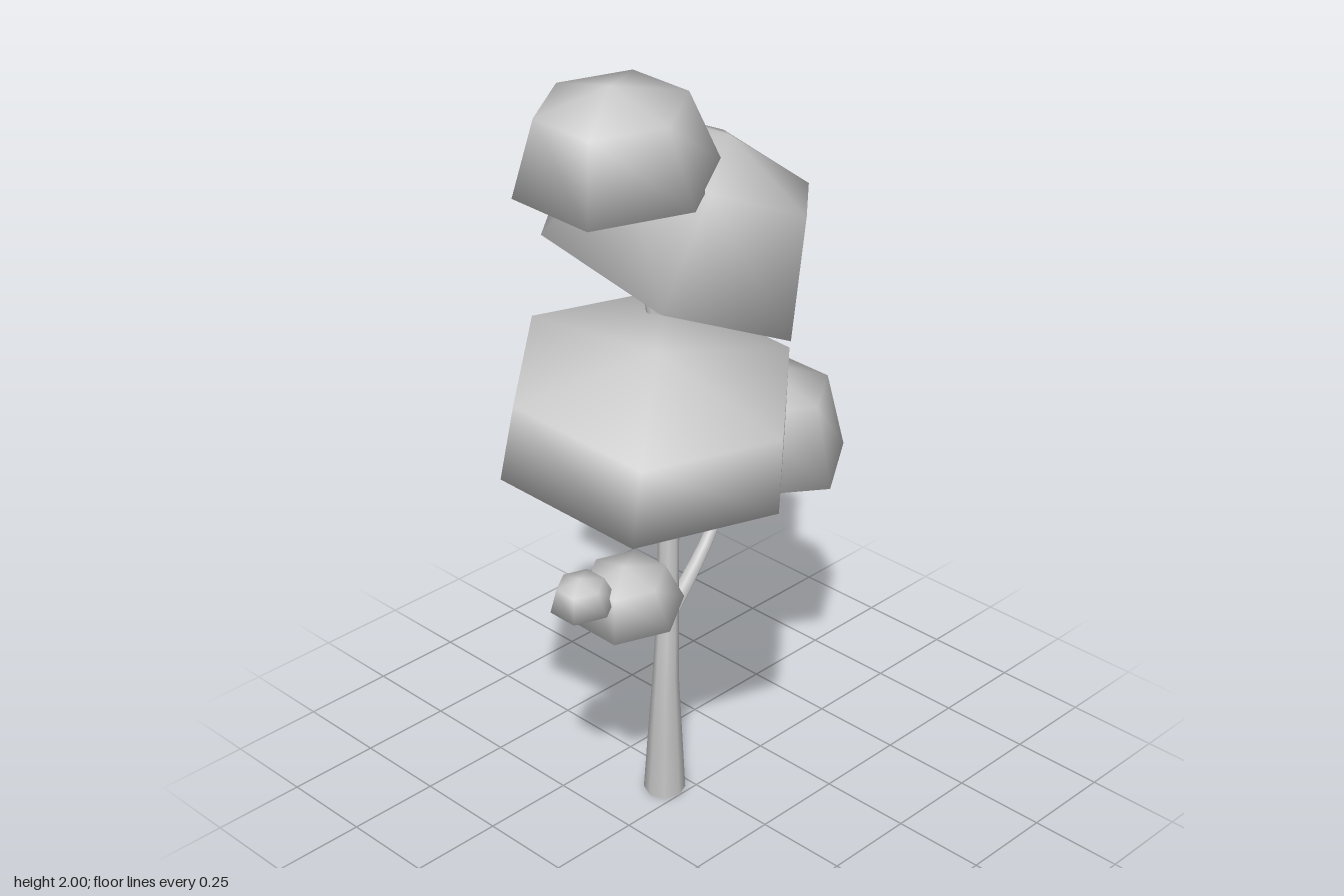
import * as THREE from 'three';
import { mergeVertices } from 'three/addons/utils/BufferGeometryUtils.js';

const material = new THREE.MeshStandardMaterial({ color: 0xcccccc });
const vec = (p) => new THREE.Vector3(...p);

// Six-sided leaf clump: centre of its widest ring, radius, up direction,
// direction of one corner, then size of the upper ring and its height (in radii)
function leafClump(name, centre, radius, up, corner, upper = 0.73, height = 0.76) {
  const profile = [[0, -0.2], [1, 0], [upper, height], [0, height + 0.19]]
    .map(([r, y]) => new THREE.Vector2(r * radius, y * radius));
  let geometry = new THREE.LatheGeometry(profile, 6);
  geometry.deleteAttribute('normal');
  geometry.deleteAttribute('uv');
  geometry = mergeVertices(geometry, 1e-4);
  geometry.computeVertexNormals();

  const y = vec(up).normalize();
  const x = y.clone().cross(vec(corner)).normalize();
  const z = x.clone().cross(y);
  const mesh = new THREE.Mesh(geometry, material);
  mesh.name = name;
  mesh.quaternion.setFromRotationMatrix(new THREE.Matrix4().makeBasis(x, y, z));
  mesh.position.set(...centre);
  return mesh;
}

// Tapered limb through [x, y, z, radius] points
function limb(name, points, sides = 8) {
  const curve = new THREE.CatmullRomCurve3(points.map((p) => vec(p.slice(0, 3))));
  const steps = (points.length - 1) * 3;
  const geometry = new THREE.TubeGeometry(curve, steps, 1, sides);
  const pos = geometry.attributes.position;
  const v = new THREE.Vector3();
  for (let i = 0; i <= steps; i++) {
    const t = i / steps;
    const centre = curve.getPointAt(t);
    const k = curve.getUtoTmapping(t) * (points.length - 1);
    const a = Math.min(Math.floor(k), points.length - 2);
    const radius = THREE.MathUtils.lerp(points[a][3], points[a + 1][3], k - a);
    for (let j = 0; j <= sides; j++) {
      const n = i * (sides + 1) + j;
      v.fromBufferAttribute(pos, n).sub(centre).multiplyScalar(radius).add(centre);
      pos.setXYZ(n, v.x, v.y, v.z);
    }
  }
  const mesh = new THREE.Mesh(geometry, material);
  mesh.name = name;
  return mesh;
}

export function createModel() {
  const tree = new THREE.Group();
  tree.name = 'tree';

  // Trunk, running up through the clumps
  tree.add(limb('trunk', [
    [-0.064, 0, -0.055, 0.055], [-0.07, 0.36, -0.042, 0.034], [-0.06, 0.58, -0.043, 0.028],
    [-0.058, 1.1, -0.046, 0.026], [-0.1, 1.44, -0.055, 0.015], [-0.18, 1.78, -0.065, 0.012],
  ]));
  const base = new THREE.Mesh(new THREE.CircleGeometry(0.055, 8), material);
  base.name = 'trunkBase';
  base.rotation.x = Math.PI / 2;
  base.position.set(-0.064, 0.001, -0.055);
  tree.add(base);

  // Branches
  tree.add(
    limb('leftBranch', [
      [-0.06, 0.53, -0.045, 0.024], [0.105, 0.635, -0.085, 0.018],
      [0.235, 0.775, -0.105, 0.014], [0.32, 0.84, -0.115, 0.01],
    ], 6),
    limb('rightBranch', [
      [-0.06, 0.53, -0.043, 0.022], [-0.15, 0.605, -0.02, 0.017], [-0.26, 0.68, 0.02, 0.01],
    ], 6),
    limb('rightTwig', [
      [-0.23, 0.655, 0.01, 0.009], [-0.33, 0.7, 0.015, 0.007], [-0.4, 0.76, 0.015, 0.005],
    ], 6),
    limb('middleFrontBranch', [
      [-0.058, 0.98, -0.045, 0.018], [-0.1, 1.03, 0.03, 0.013], [-0.15, 1.1, 0.1, 0.01],
    ], 6),
    limb('middleBackBranch', [
      [-0.058, 0.98, -0.045, 0.018], [-0.1, 1.05, -0.08, 0.013], [-0.16, 1.16, -0.12, 0.01],
    ], 6),
  );

  // Leaf clumps
  tree.add(
    leafClump('topLeaves', [-0.19, 1.763, -0.067], 0.25, [-0.11, 0.99, 0.03], [0, 0, 1]),
    leafClump('upperLeaves', [0.005, 1.485, -0.087], 0.367, [0.32, 0.917, 0.238], [0.045, -0.105, 0.345]),
    leafClump('middleLeaves', [-0.23, 1.13, 0.06], 0.375, [-0.058, 0.98, 0.198], [0.075, -0.07, 0.37], 0.95, 0.56),
    leafClump('leftLeaves', [0.326, 0.835, -0.127], 0.27, [0.08, 0.99, 0.06], [0.02, 0, 0.27]),
    leafClump('rightLeaves', [-0.265, 0.678, 0.03], 0.14, [-0.14, 0.98, 0.02], [0, 0, 1]),
    leafClump('smallRightLeaves', [-0.405, 0.748, 0.015], 0.082, [-0.15, 0.98, 0.02], [0, 0, 1]),
  );
  return tree;
}
